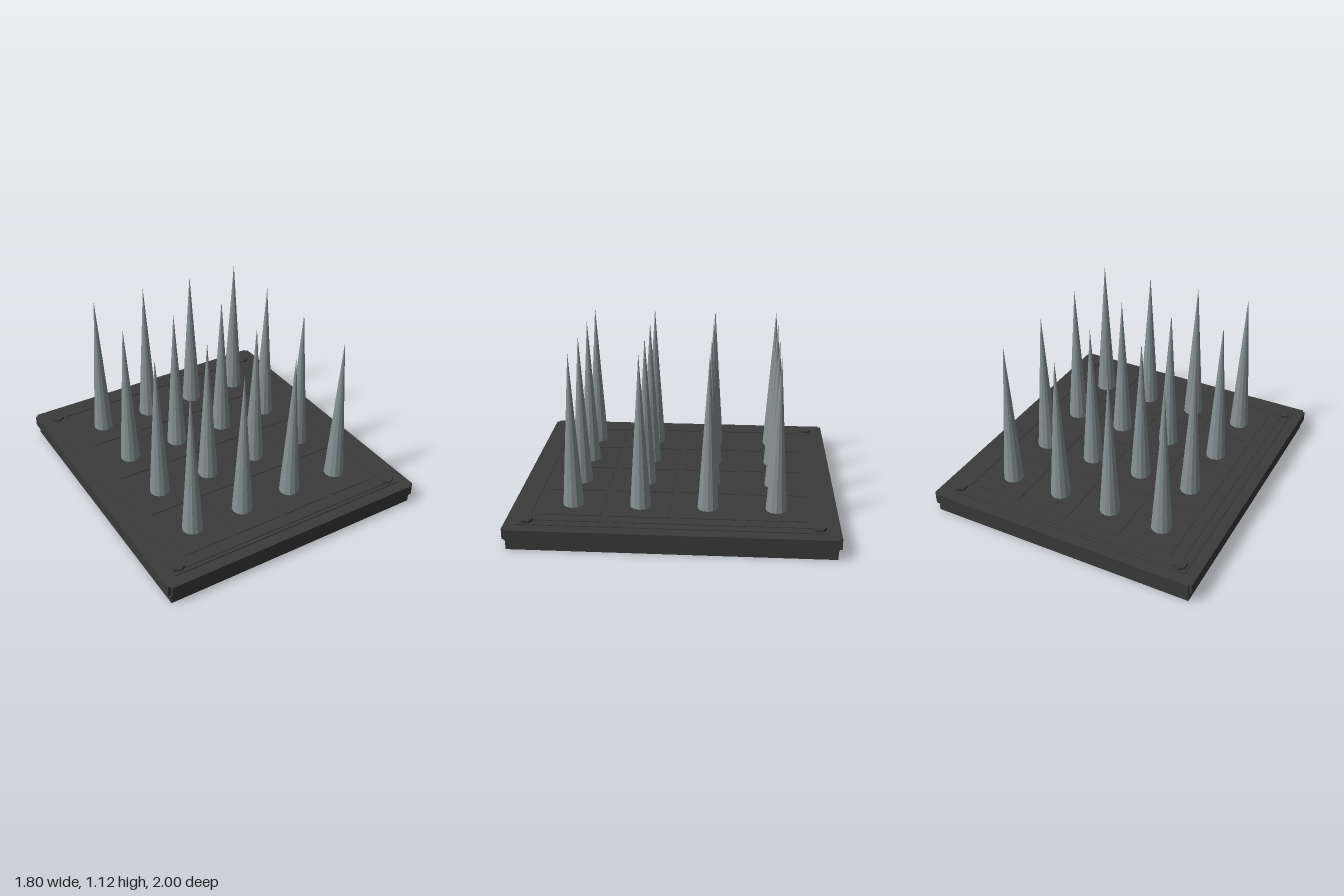
import * as THREE from 'three';

export function createModel() {
  const model = new THREE.Group();
  const darkIron = new THREE.MeshStandardMaterial({ color: 0x3a3a3a });
  const steel = new THREE.MeshStandardMaterial({ color: 0x879193, flatShading: true });
  darkIron.name = 'darkIron';
  steel.name = 'steel';

  const add = (name, geometry, material, x, y, z) => {
    const mesh = new THREE.Mesh(geometry, material);
    mesh.name = name;
    mesh.position.set(x, y, z);
    model.add(mesh);
    return mesh;
  };
  // box given by its bottom and top heights
  const slab = (name, w, d, y0, y1, x = 0, z = 0) =>
    add(name, new THREE.BoxGeometry(w, y1 - y0, d), darkIron, x, (y0 + y1) / 2, z);

  // lower base
  slab('lowerBase', 1.76, 1.96, 0, 0.068);

  // upper slab with small square notches at the corners
  const W = 0.9, D = 1, n = 0.018;
  const outline = new THREE.Shape([
    [W, -D + n], [W, D - n], [W - n, D - n], [W - n, D],
    [-W + n, D], [-W + n, D - n], [-W, D - n], [-W, -D + n],
    [-W + n, -D + n], [-W + n, -D], [W - n, -D], [W - n, -D + n],
  ].map(([x, y]) => new THREE.Vector2(x, y)));
  const upper = new THREE.ExtrudeGeometry(outline, { depth: 0.067, bevelEnabled: false });
  upper.rotateX(-Math.PI / 2);
  add('upperSlab', upper, darkIron, 0, 0.068, 0);

  // raised top plate
  slab('topPlate', 1.65, 1.85, 0.13, 0.14);

  // trim ring with clipped corners
  const clipped = (Kind, w, d, c) => new Kind([
    [w, -d + c], [w, d - c], [w - c, d], [-w + c, d],
    [-w, d - c], [-w, -d + c], [-w + c, -d], [w - c, -d],
  ].map(([x, y]) => new THREE.Vector2(x, y)));
  const ringShape = clipped(THREE.Shape, 0.77, 0.9, 0.03);
  ringShape.holes.push(clipped(THREE.Path, 0.73, 0.86, 0.03));
  const ring = new THREE.ExtrudeGeometry(ringShape, { depth: 0.006, bevelEnabled: false });
  ring.rotateX(-Math.PI / 2);
  add('trimRing', ring, darkIron, 0, 0.138, 0);

  // four by four pads, each with a spike
  const spike = new THREE.ConeGeometry(0.065, 0.98, 12);
  for (let i = 0; i < 4; i++) {
    for (let j = 0; j < 4; j++) {
      const x = (i - 1.5) * 0.356, z = (j - 1.5) * 0.417;
      slab('pad', 0.315, 0.375, 0.137, 0.144, x, z);
      add('spike', spike, steel, x, 0.63, z);
    }
  }

  // hexagonal corner bolts
  const bolt = new THREE.CylinderGeometry(0.043, 0.043, 0.02, 6).toNonIndexed();
  bolt.computeVertexNormals();
  for (const sx of [-1, 1]) {
    for (const sz of [-1, 1]) add('cornerBolt', bolt, darkIron, sx * 0.775, 0.147, sz * 0.872);
  }

  return model;
}
